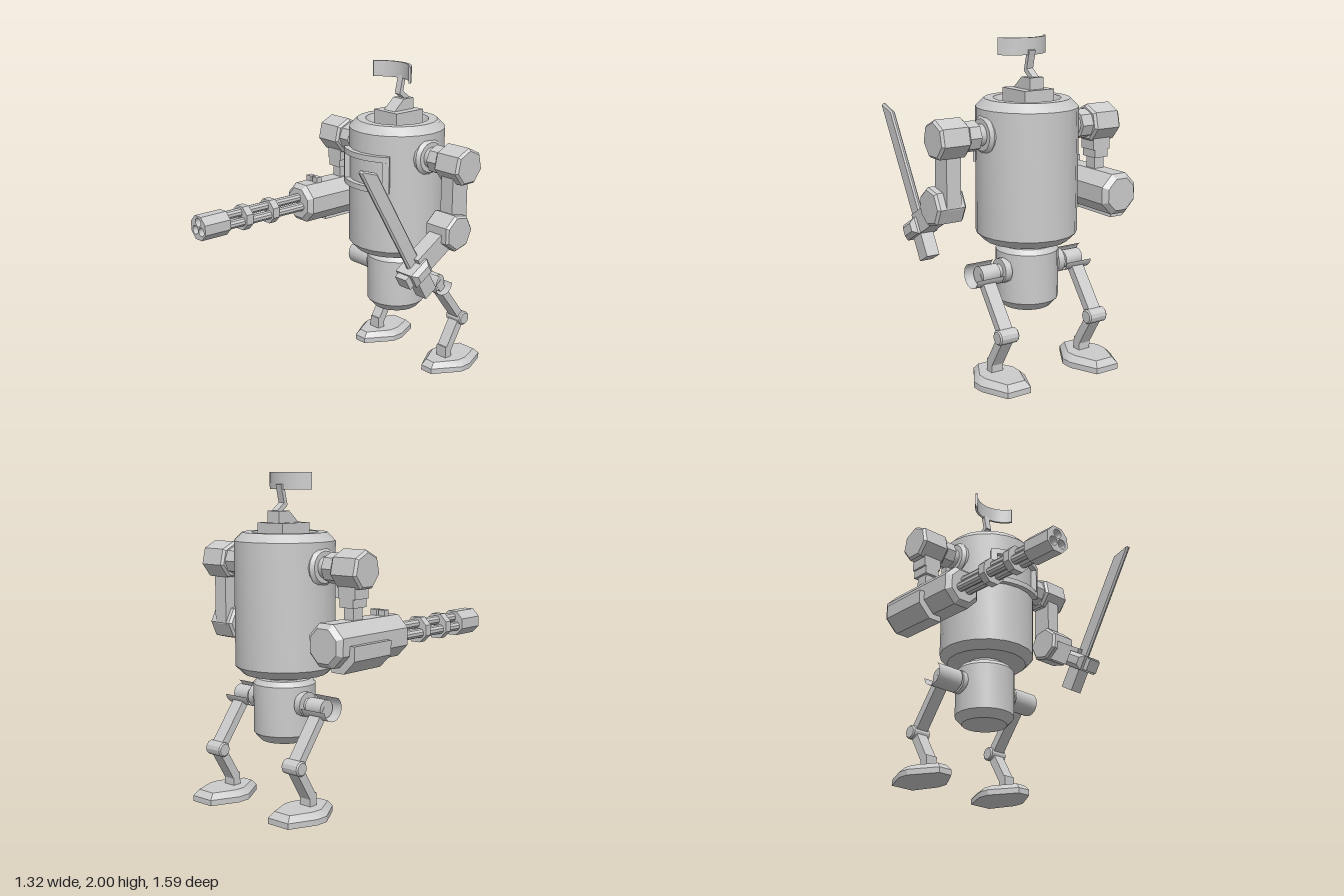
import * as THREE from 'three';
import { toCreasedNormals } from 'three/addons/utils/BufferGeometryUtils.js';

const CX = 0.022; // body axis
const mat = new THREE.MeshStandardMaterial({ color: 0xcccccc, side: THREE.DoubleSide });

function add(parent, name, geo, x = 0, y = 0, z = 0) {
  const m = new THREE.Mesh(toCreasedNormals(geo, 0.5), mat);
  m.name = name;
  m.position.set(x, y, z);
  parent.add(m);
  return m;
}

const lathe = (pts, n) => new THREE.LatheGeometry(pts.map(p => new THREE.Vector2(...p)), n);
const box = (w, h, d) => new THREE.BoxGeometry(w, h, d);

// Chamfered prism centred on the origin, lying along the given axis
function prism(r, len, n, axis = 'y', c = 0, spin = 0) {
  const h = len / 2;
  const pts = c ? [[0, -h], [r - c, -h], [r, c - h], [r, h - c], [r - c, h], [0, h]]
    : [[0, -h], [r, -h], [r, h], [0, h]];
  const g = lathe(pts, n).rotateY(spin);
  if (axis === 'x') g.rotateZ(-Math.PI / 2);
  if (axis === 'z') g.rotateX(Math.PI / 2);
  return g;
}

// Box wrapped round the y axis, its middle facing +z
function bentBox(w, h, d, R) {
  const g = new THREE.BoxGeometry(w, h, d, 10, 1, 1), p = g.attributes.position;
  for (let i = 0; i < p.count; i++) {
    const a = p.getX(i) / R, r = R + p.getZ(i);
    p.setXYZ(i, Math.sin(a) * r, p.getY(i), Math.cos(a) * r);
  }
  return g;
}

// Outline of [z, y] points extruded to width w along x, centred
function sidePlate(pts, w, bevel = 0) {
  const s = new THREE.Shape(pts.map(([z, y]) => new THREE.Vector2(-z, y)));
  return new THREE.ExtrudeGeometry(s, {
    depth: w - 2 * bevel, bevelEnabled: bevel > 0, bevelSize: bevel, bevelThickness: bevel,
    bevelOffset: -bevel, bevelSegments: 1
  }).translate(0, 0, bevel - w / 2).rotateY(Math.PI / 2);
}

// Straight bar between two [y, z] points
function bar(parent, name, x, [y0, z0], [y1, z1], w, t) {
  const m = add(parent, name, box(w, Math.hypot(y1 - y0, z1 - z0), t), x, (y0 + y1) / 2, (z0 + z1) / 2);
  m.rotation.x = Math.atan2(z1 - z0, y1 - y0);
}

function buildBody(root) {
  const body = new THREE.Group();
  body.name = 'body';
  root.add(body);
  add(body, 'torso', lathe([[0, 0.8], [0.255, 0.8], [0.305, 0.85], [0.305, 1.6], [0.255, 1.65],
    [0.2, 1.65], [0.165, 1.59], [0, 1.59]], 20), CX, 0, -0.39);
  add(body, 'waist', prism(0.12, 0.1, 20), CX, 0.785, -0.4);
  add(body, 'pelvis', lathe([[0, 0.39], [0.145, 0.39], [0.19, 0.44], [0.19, 0.74], [0.165, 0.77],
    [0, 0.77]], 20), CX, 0, -0.4);
  // Curved window frame on the chest
  for (const s of [-1, 1]) {
    add(body, 'windowRail', bentBox(0.42, 0.035, 0.045, 0.315), CX, 1.36 + s * 0.0985, -0.39);
    add(body, 'windowPost', bentBox(0.04, 0.162, 0.045, 0.315).rotateY(s * 0.603), CX, 1.36, -0.39);
  }
  // Sensor mast and curved dish
  add(body, 'mastBase', box(0.205, 0.125, 0.23), CX, 1.643, -0.4);
  add(body, 'mastWedge', sidePlate([[-0.32, 1.705], [-0.485, 1.705], [-0.485, 1.775], [-0.4, 1.775]], 0.095), CX);
  bar(body, 'mastLowerArm', CX, [1.765, -0.465], [1.815, -0.4], 0.045, 0.03);
  bar(body, 'mastUpperArm', CX, [1.805, -0.4], [1.93, -0.43], 0.045, 0.025);
  add(body, 'dish', bentBox(0.39, 0.1, 0.015, 0.192).rotateY(Math.PI), CX, 1.95, -0.23);
}

function buildLeg(root, s) {
  const leg = new THREE.Group();
  leg.name = s > 0 ? 'leftLeg' : 'rightLeg';
  leg.position.x = CX;
  root.add(leg);
  const x = s * 0.323;
  add(leg, 'hipDisc', prism(0.075, 0.045, 16, 'x'), s * 0.195, 0.635, -0.425);
  add(leg, 'hipShaft', prism(0.04, 0.12, 16, 'x'), s * 0.23, 0.635, -0.425);
  add(leg, 'hipCore', prism(0.055, 0.12, 16, 'x'), x - s * 0.02, 0.63, -0.425);
  // Hood over the front and top of the hip
  add(leg, 'hipHood', new THREE.CylinderGeometry(0.075, 0.075, 0.185, 16, 1, true, -Math.PI * 0.95, Math.PI * 1.25)
    .rotateZ(Math.PI / 2), x, 0.635, -0.425);
  bar(leg, 'thigh', x, [0.63, -0.425], [0.32, -0.66], 0.085, 0.05);
  add(leg, 'knee', prism(0.045, 0.13, 12, 'x', 0.008), x, 0.32, -0.66);
  bar(leg, 'shin', x, [0.32, -0.66], [0.12, -0.54], 0.08, 0.055);
  add(leg, 'ankle', box(0.08, 0.09, 0.055), x, 0.1, -0.54);
  // Foot: eight-sided slab with a sloped upper edge
  const half = [[0.045, -0.375], [0.153, -0.55], [0.153, -0.63], [0.08, -0.797]];
  const outline = [...half, ...half.map(([a, z]) => [-a, z]).reverse()];
  const foot = new THREE.ExtrudeGeometry(
    new THREE.Shape(outline.map(([a, z]) => new THREE.Vector2(a, -z))),
    { depth: 0.07, bevelEnabled: false, steps: 2 }).rotateX(-Math.PI / 2);
  const p = foot.attributes.position;
  for (let i = 0; i < p.count; i++) {
    if (p.getY(i) > 0.06) p.setXYZ(i, p.getX(i) * 0.76, 0.07, -0.58 + (p.getZ(i) + 0.58) * 0.84);
  }
  add(leg, 'foot', foot, x, 0, 0);
}

function buildShoulder(root, s) {
  const y = 1.455, z = -0.38;
  const parts = [['shoulderSocket', 0.115, 0.23, 0.315, 16, 0.02], ['shoulderShaft', 0.065, 0.29, 0.38, 16, 0],
    ['shoulderCollar', 0.09, 0.36, 0.45, 8, 0], ['shoulderBlock', 0.117, 0.44, 0.635, 7, 0.015]];
  for (const [name, r, a, b, n, c] of parts) {
    add(root, name, prism(r, b - a, n, 'x', c, -Math.PI / 2), CX + s * (a + b) / 2, y, z);
  }
}

function buildGunArm(root) {
  const arm = new THREE.Group();
  arm.name = 'rightGunArm';
  arm.position.set(-0.505, 1.045, 0);
  root.add(arm);
  const oct = Math.PI / 8;
  add(arm, 'upperArm', box(0.1, 0.22, 0.12), 0, 0.305, -0.38);
  add(arm, 'armMount', box(0.07, 0.12, 0.08), 0, 0.15, -0.38);
  for (const s of [-1, 1]) {
    add(arm, 'armFork', box(0.015, 0.09, 0.12), s * 0.055, 0.29, -0.38);
    add(arm, 'sight', box(0.045, 0.05, 0.04), s * 0.03, 0.135, -0.14);
  }
  add(arm, 'gunBody', prism(0.135, 0.64, 8, 'z', 0.03, oct), 0, 0, -0.32);
  // Ammunition case wrapped round the lower outer side
  const pts = [[-0.16, 0.005], [-0.16, -0.08], [-0.08, -0.16], [0.01, -0.16], [0, 0]];
  add(arm, 'ammoCase', new THREE.ExtrudeGeometry(new THREE.Shape(pts.map(q => new THREE.Vector2(...q))),
    { depth: 0.325, bevelEnabled: false }), 0, 0, -0.555);
  // Barrel cluster, clamps and bored muzzle
  const muzzle = new THREE.Shape();
  for (let i = 0; i < 8; i++) {
    const a = oct + i * Math.PI / 4;
    muzzle[i ? 'lineTo' : 'moveTo'](Math.cos(a) * 0.083, Math.sin(a) * 0.083);
  }
  for (let i = 0; i < 3; i++) {
    const a = Math.PI / 2 + i * Math.PI * 2 / 3, x = Math.cos(a) * 0.037, y = Math.sin(a) * 0.037;
    add(arm, 'barrel', prism(0.029, 0.68, 10, 'z'), x, y, 0.33);
    muzzle.holes.push(new THREE.Path().absarc(x, y, 0.028, 0, Math.PI * 2, true));
  }
  add(arm, 'muzzle', new THREE.ExtrudeGeometry(muzzle, { depth: 0.19, bevelEnabled: false, curveSegments: 10 }), 0, 0, 0.6);
  for (const z of [0.24, 0.45]) add(arm, 'barrelClamp', prism(0.083, 0.05, 8, 'z', 0, oct), 0, 0, z);
}

function buildSwordArm(root) {
  const x = 0.55;
  add(root, 'leftUpperArm', box(0.095, 0.4, 0.13), x, 1.25, -0.365);
  add(root, 'leftElbow', prism(0.117, 0.19, 7, 'x', 0.015, -Math.PI / 2 + 0.25), x + 0.007, 1.055, -0.315);
  // Forearm, hand and sword share one tilted frame: y along the blade, z along the forearm
  const hand = new THREE.Group();
  hand.name = 'leftForearmAndSword';
  hand.position.set(x, 0.855, -0.03);
  hand.rotation.x = 0.535;
  root.add(hand);
  add(hand, 'forearm', box(0.1, 0.13, 0.32), 0, 0.015, -0.19);
  add(hand, 'hand', sidePlate([[-0.08, -0.05], [0.07, -0.05], [0.07, 0.05], [-0.08, 0.05]], 0.18, 0.025));
  add(hand, 'knuckleGuard', box(0.09, 0.08, 0.06), 0, 0, 0.075);
  add(hand, 'grip', box(0.085, 0.17, 0.1), 0, -0.11, -0.015);
  add(hand, 'blade', sidePlate([[-0.07, 0], [0.03, 0], [0.03, 0.82], [0.01, 0.825], [-0.07, 0.735]], 0.03, 0.01));
}

export function createModel() {
  const root = new THREE.Group();
  root.name = 'walkerRobot';
  buildBody(root);
  for (const s of [-1, 1]) {
    buildLeg(root, s);
    buildShoulder(root, s);
  }
  buildGunArm(root);
  buildSwordArm(root);
  return root;
}
